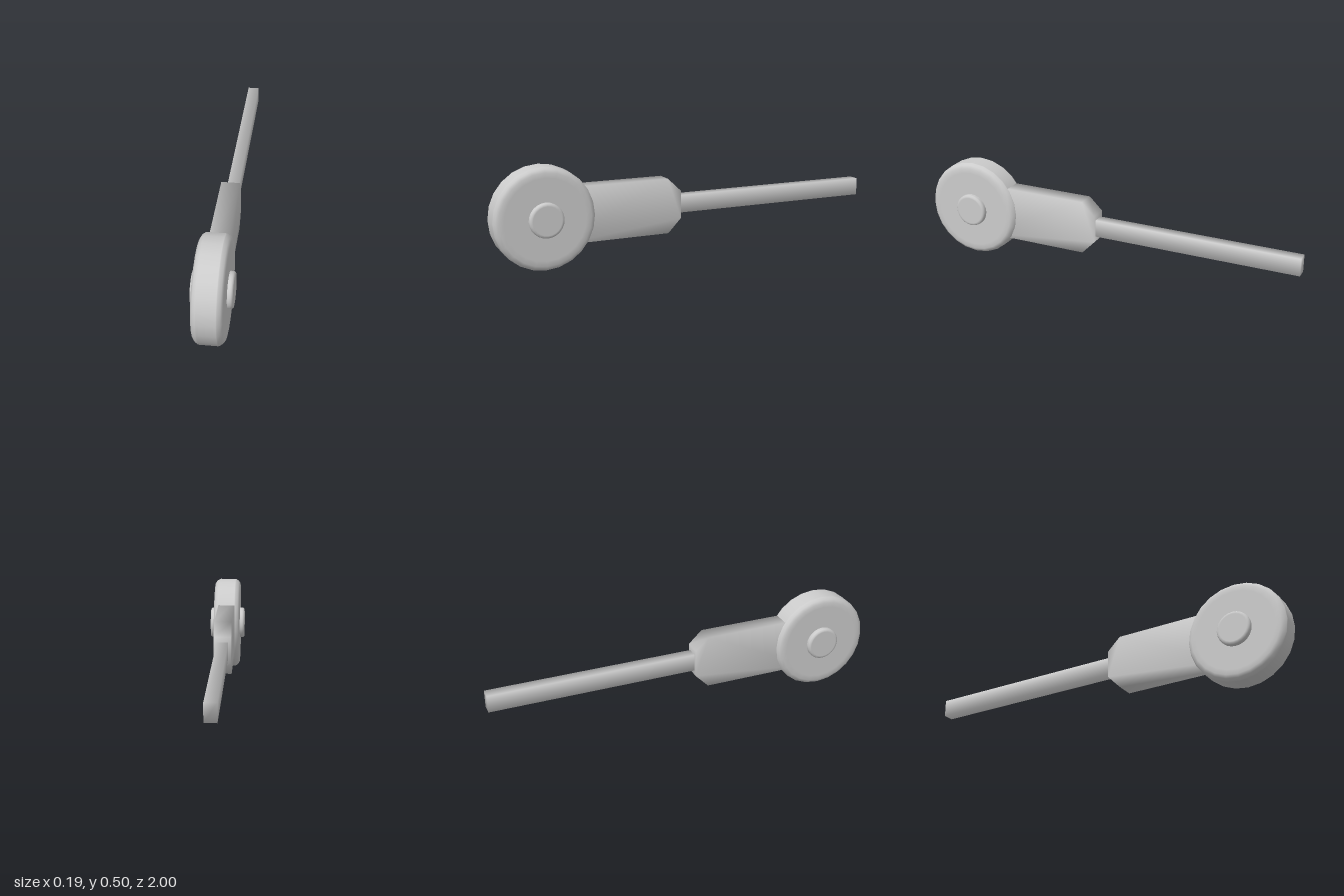
import * as THREE from 'three';
import { mergeVertices } from 'three/addons/utils/BufferGeometryUtils.js';

const material = new THREE.MeshStandardMaterial({ color: 0xcccccc });

// Shares corners so the normals blend across edges
function soften(geometry) {
  geometry.deleteAttribute('normal');
  geometry.deleteAttribute('uv');
  const merged = mergeVertices(geometry, 1e-4);
  merged.computeVertexNormals();
  return merged;
}

function part(name, geometry) {
  const mesh = new THREE.Mesh(geometry, material);
  mesh.name = name;
  return mesh;
}

// Round part with bevelled rims, turned about the x axis at the wheel centre
function turned(name, points, sides) {
  const geometry = new THREE.LatheGeometry(points.map(([r, h]) => new THREE.Vector2(r, h)), sides);
  geometry.rotateZ(-Math.PI / 2);
  const mesh = part(name, geometry);
  mesh.position.set(0, 0.25, 0.753);
  return mesh;
}

// Closed half profile mirrored about the middle plane
function mirrored(half) {
  return [...half.map(([r, h]) => [r, -h]), ...half.slice().reverse()];
}

export function createModel() {
  const group = new THREE.Group();
  group.name = 'wheeledRod';

  // Round head with rounded rims
  group.add(turned('head', mirrored([
    [0, 0.07], [0.2, 0.07], [0.225, 0.07], [0.24, 0.061], [0.249, 0.047], [0.25, 0.043],
  ]), 24));

  // Pivot pin showing on both sides
  group.add(turned('pivotPin', mirrored([
    [0, 0.095], [0.07, 0.095], [0.078, 0.095], [0.084, 0.088], [0.085, 0.08],
  ]), 24));

  // Neck block with chamfered rear corners, profile drawn in (-z, y)
  const profile = new THREE.Shape([
    [-0.7, 0.115], [-0.12, 0.115], [-0.052, 0.185], [-0.052, 0.325], [-0.12, 0.39], [-0.7, 0.39],
  ].map(([a, y]) => new THREE.Vector2(a, y)));
  const neck = new THREE.ExtrudeGeometry(profile, { depth: 0.09, bevelEnabled: false });
  neck.translate(0, 0, -0.045);
  neck.rotateY(Math.PI / 2);
  group.add(part('neck', soften(neck)));

  // Long square rod
  const rod = new THREE.BoxGeometry(0.058, 0.088, 1.1);
  rod.translate(0, 0.254, -0.45);
  group.add(part('rod', soften(rod)));

  return group;
}
